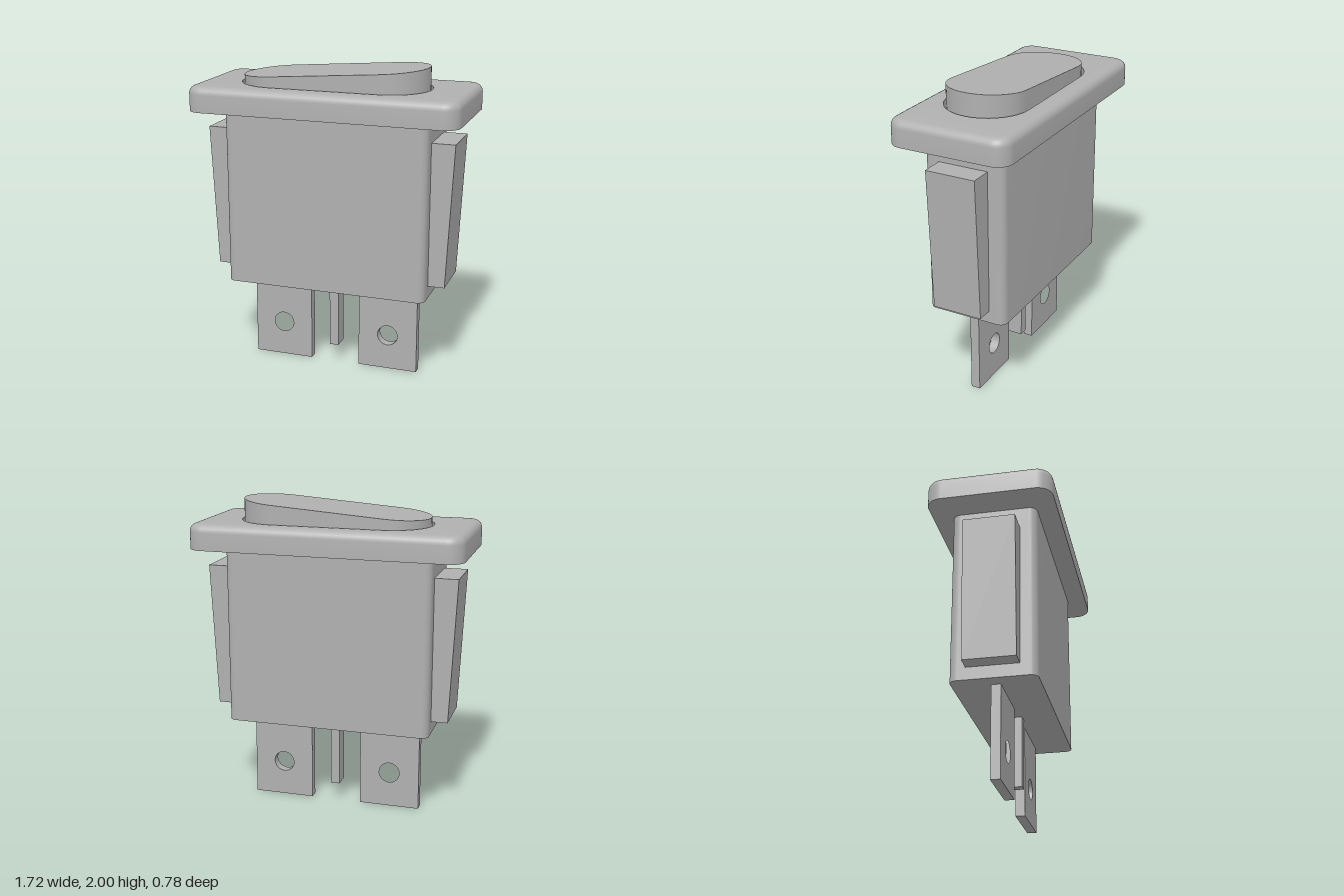
import * as THREE from 'three';
import { toCreasedNormals } from 'three/addons/utils/BufferGeometryUtils.js';

const CORNER_STEPS = 12;

// Horizontal rounded rectangle; y is a number or a function of x
function ring(hx, hz, r, y) {
  const points = [];
  for (let c = 0; c < 4; c++) {
    const sx = c === 0 || c === 3 ? 1 : -1;
    const sz = c < 2 ? 1 : -1;
    for (let i = 0; i <= CORNER_STEPS; i++) {
      const a = (c + i / CORNER_STEPS) * Math.PI / 2;
      const x = sx * (hx - r) + r * Math.cos(a);
      const z = sz * (hz - r) + r * Math.sin(a);
      points.push([x, typeof y === 'function' ? y(x) : y, z]);
    }
  }
  return points;
}

// Skin a stack of rings and cap both ends
function loft(rings) {
  const pos = [];
  const n = rings[0].length;
  const tri = (a, b, c) => pos.push(...a, ...b, ...c);
  const centre = (r) => [0, r.reduce((s, p) => s + p[1], 0) / n, 0];
  const first = rings[0], last = rings[rings.length - 1];
  for (let i = 0; i < n; i++) {
    const j = (i + 1) % n;
    for (let k = 0; k < rings.length - 1; k++) {
      const p = rings[k], q = rings[k + 1];
      tri(p[i], q[i], p[j]);
      tri(p[j], q[i], q[j]);
    }
    tri(centre(first), first[i], first[j]);
    tri(centre(last), last[j], last[i]);
  }
  const g = new THREE.BufferGeometry();
  g.setAttribute('position', new THREE.Float32BufferAttribute(pos, 3));
  return toCreasedNormals(g, 0.5);
}

function extrudeCentred(shape, depth) {
  const g = new THREE.ExtrudeGeometry(shape, { depth, bevelEnabled: false, curveSegments: 24 });
  return toCreasedNormals(g.translate(0, 0, -depth / 2), 0.5);
}

export function createModel() {
  const group = new THREE.Group();
  const grey = new THREE.MeshStandardMaterial({ color: 0xb0b0b0 });
  grey.name = 'grey';
  const add = (name, geometry) => {
    const mesh = new THREE.Mesh(geometry, grey);
    mesh.name = name;
    group.add(mesh);
    return mesh;
  };

  // Housing with rounded upright edges
  add('body', loft([ring(0.655, 0.265, 0.05, 0.58), ring(0.655, 0.265, 0.05, 1.71)]));

  // Bezel: filleted upper rim and an oval recess for the rocker
  const f = 0.05;
  const bezel = [ring(0.86, 0.39, 0.1, 1.705)];
  for (let i = 0; i <= 6; i++) {
    const a = i / 6 * Math.PI / 2;
    const inset = f * (1 - Math.cos(a));
    bezel.push(ring(0.86 - inset, 0.39 - inset, 0.1 - inset, 1.865 - f + f * Math.sin(a)));
  }
  bezel.push(ring(0.612, 0.265, 0.265, 1.865), ring(0.612, 0.265, 0.265, 1.72));
  add('bezel', loft(bezel));

  // Rocker with a sloping top
  const slope = (x) => 1.955 + 0.075 * x;
  add('rocker', loft([ring(0.597, 0.248, 0.248, 1.715), ring(0.597, 0.248, 0.248, slope)]));

  // Tapered side clips and pierced blade terminals
  for (const s of [-1, 1]) {
    const side = s > 0 ? 'left' : 'right';
    const clip = new THREE.Shape([[0.64, 0.66], [0.76, 0.66], [0.803, 1.573], [0.64, 1.573]]
      .map(([x, y]) => new THREE.Vector2(s * x, y)));
    add(side + 'Clip', extrudeCentred(clip, 0.324));

    const blade = new THREE.Shape([[0.165, 0], [0.558, 0], [0.558, 0.59], [0.165, 0.59]]
      .map(([x, y]) => new THREE.Vector2(s * x, y)));
    blade.holes.push(new THREE.Path().absarc(s * 0.361, 0.232, 0.067, 0, Math.PI * 2, true));
    add(side + 'Terminal', extrudeCentred(blade, 0.06));
  }

  // Narrow middle terminal, turned crosswise
  add('middleTerminal', new THREE.BoxGeometry(0.06, 0.465, 0.102)).position.y = 0.3575;

  return group;
}
